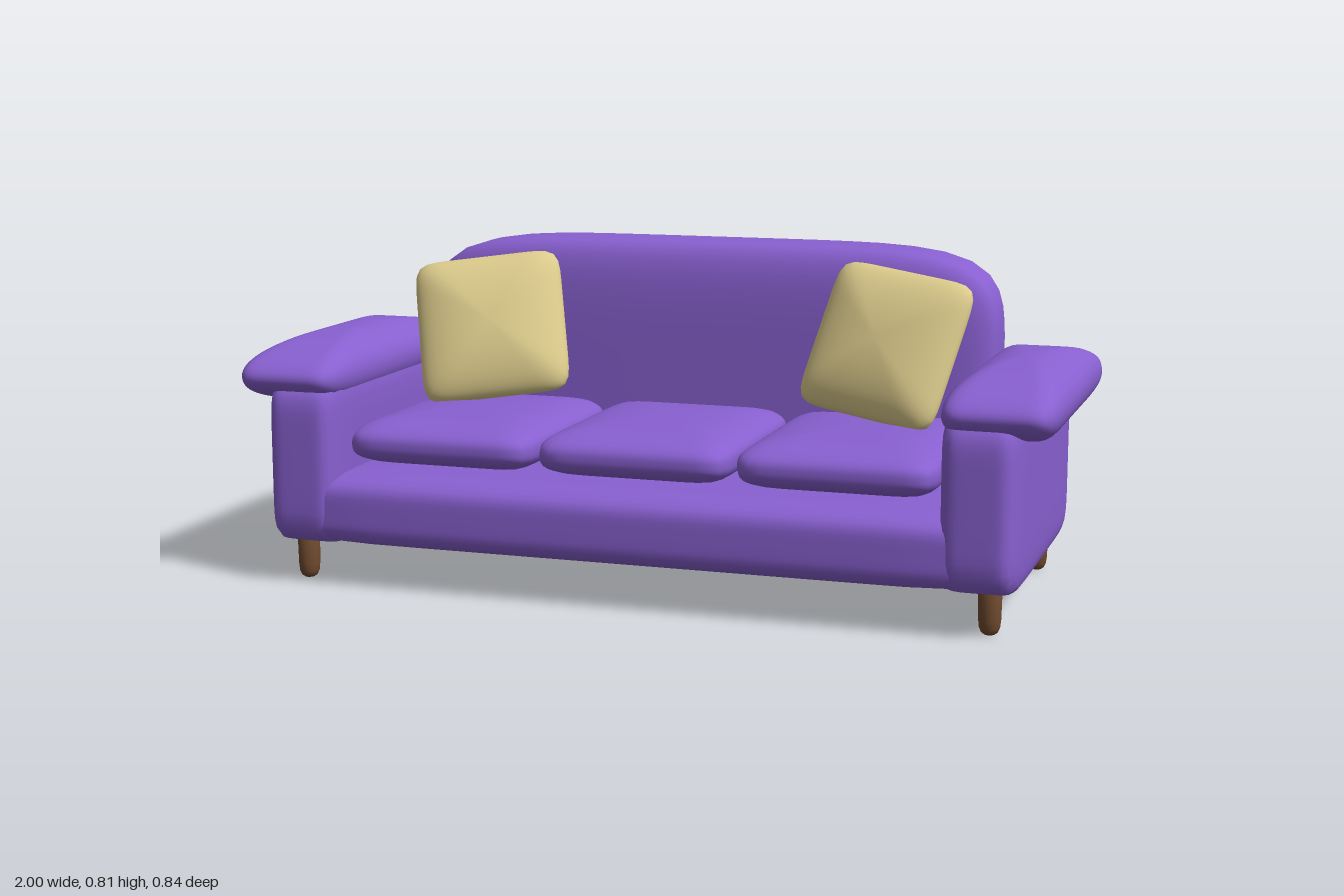
import * as THREE from 'three';
import { mergeVertices } from 'three/addons/utils/BufferGeometryUtils.js';

// Soft cushion block: half sizes a, b, c along x, y, z.
// plan = squareness of the outline seen along y, profile = squareness of the thickness.
function softBlock(a, b, c, plan, profile, segs = 72) {
  const g = new THREE.SphereGeometry(1, segs, segs / 2);
  g.deleteAttribute('normal');
  g.deleteAttribute('uv');
  const p = g.attributes.position;
  const norm = (u, v, n) => Math.pow(Math.abs(u) ** n + Math.abs(v) ** n, 1 / n);
  for (let i = 0; i < p.count; i++) {
    const x = p.getX(i), y = p.getY(i), z = p.getZ(i);
    const r = Math.hypot(x, z);
    const k = 1 / norm(r, y, profile);
    const m = r > 1e-6 ? (k * r) / norm(x, z, plan) : 0;
    p.setXYZ(i, a * x * m, b * y * k, c * z * m);
  }
  const out = mergeVertices(g, 1e-5);
  out.computeVertexNormals();
  return out;
}

export function createModel() {
  const sofa = new THREE.Group();
  sofa.name = 'sofa';

  const fabric = new THREE.MeshStandardMaterial({ color: 0x8860d0 });
  fabric.name = 'purple fabric';
  const cream = new THREE.MeshStandardMaterial({ color: 0xdccb8c });
  cream.name = 'cream fabric';
  const wood = new THREE.MeshStandardMaterial({ color: 0x6f4a2f });
  wood.name = 'brown wood';

  const add = (name, geometry, material, x, y, z) => {
    const mesh = new THREE.Mesh(geometry, material);
    mesh.name = name;
    mesh.position.set(x, y, z);
    sofa.add(mesh);
    return mesh;
  };

  // Base under the seat
  add('base', softBlock(0.915, 0.098, 0.408, 16, 5), fabric, 0, 0.188, 0);

  // Backrest, its thickness running along z
  const back = softBlock(0.755, 0.125, 0.355, 5.6, 5);
  back.rotateX(Math.PI / 2);
  add('backrest', back, fabric, 0, 0.457, -0.3);

  // Three seat cushions
  const seat = softBlock(0.238, 0.065, 0.3, 11, 2.8);
  [-0.49, 0, 0.49].forEach((x, i) =>
    add(['rightSeat', 'middleSeat', 'leftSeat'][i], seat, fabric, x, 0.35, 0.07));

  // Arms, with the side outline as the plan
  const arm = softBlock(0.212, 0.094, 0.412, 8, 7);
  arm.rotateZ(Math.PI / 2);
  const armRoll = softBlock(0.1325, 0.088, 0.421, 9, 2.1);

  // Scatter pillow
  const pillow = softBlock(0.188, 0.068, 0.188, 9, 1.9);
  pillow.rotateX(Math.PI / 2);

  // Tapered leg with a rounded foot
  const leg = new THREE.LatheGeometry(
    [[0, 0], [0.012, 0.001], [0.019, 0.006], [0.024, 0.017], [0.026, 0.035], [0.028, 0.13], [0, 0.13]]
      .map(([r, y]) => new THREE.Vector2(r, y)), 24);

  for (const s of [-1, 1]) {
    const side = s > 0 ? 'left' : 'right';
    add(side + 'Arm', arm, fabric, s * 0.831, 0.302, 0);
    add(side + 'ArmRoll', armRoll, fabric, s * 0.8675, 0.507, -0.004);
    const p = add(side + 'Pillow', pillow, cream, s * 0.515, 0.592, -0.06);
    p.rotation.set(-0.42, -s * 0.24, -s * 0.13, 'YXZ');
    add(side + 'FrontLeg', leg, wood, s * 0.853, 0, 0.323);
    add(side + 'BackLeg', leg, wood, s * 0.853, 0, -0.32);
  }
  return sofa;
}
